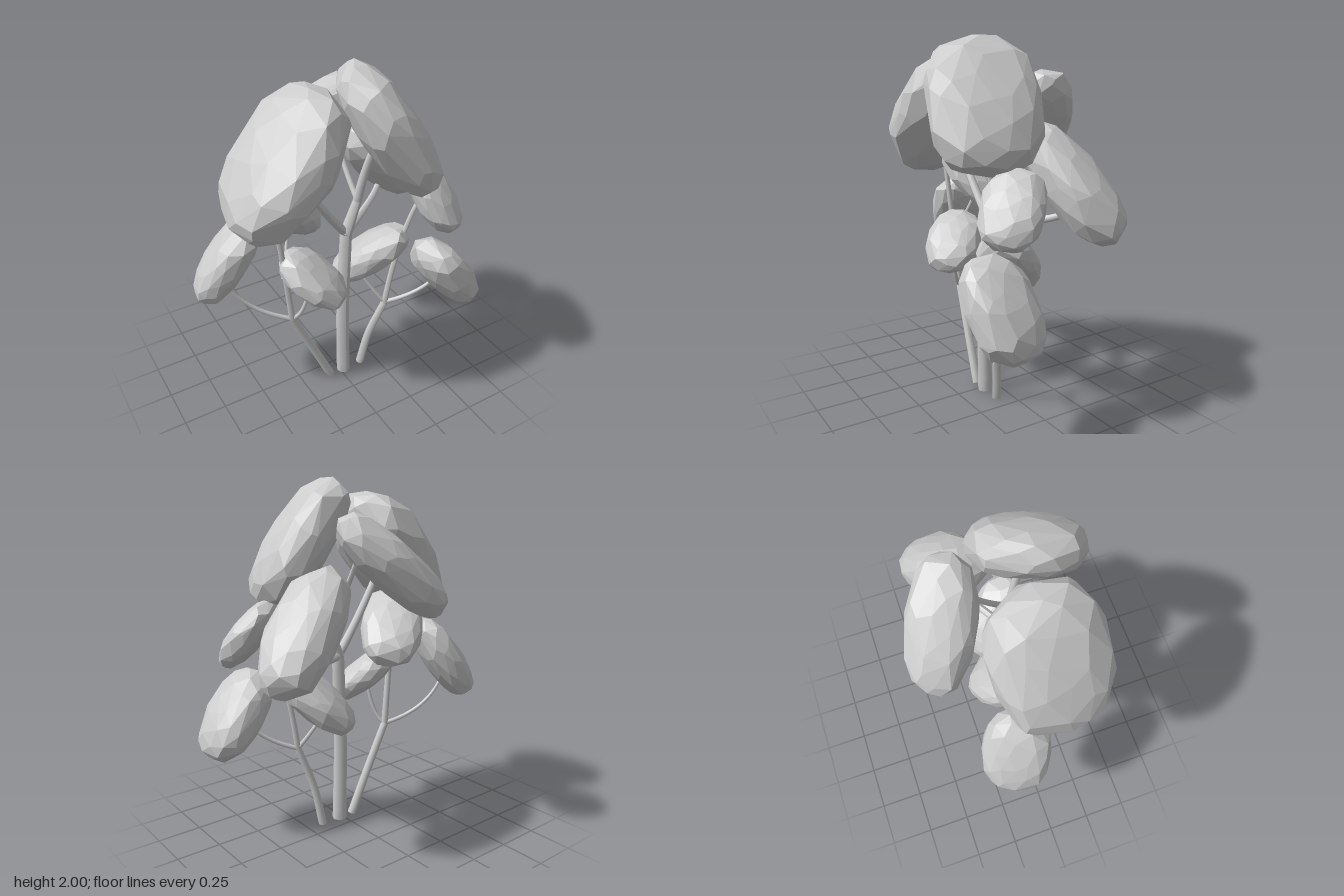
import * as THREE from 'three';
import { ConvexGeometry } from 'three/addons/geometries/ConvexGeometry.js';

const vec = (x, y, z) => new THREE.Vector3(x, y, z);
const foliageMaterial = new THREE.MeshStandardMaterial({ color: 0xcccccc, flatShading: true });
const woodMaterial = new THREE.MeshStandardMaterial({ color: 0xcccccc });

// Small seeded generator for the irregular facets
function seeded(seed) {
  let s = seed;
  return () => (s = (s * 16807) % 2147483647) / 2147483647;
}

// Flattened faceted clump whose length slopes down along a compass heading (degrees from +x to +z)
function foliage(name, at, heading, pitch, length, thickness, width) {
  const rand = seeded(Math.round(length * 1000 + heading + 400));
  const points = [];
  const count = 75, power = 2.55;
  for (let i = 0; i < count; i++) {
    const y = 1 - (2 * (i + 0.5)) / count;
    const a = i * 2.39996 + (rand() - 0.5) * 0.5;
    const r = Math.sqrt(1 - y * y);
    const d = vec(r * Math.cos(a), y, r * Math.sin(a));
    const sum = d.toArray().reduce((t, c) => t + Math.abs(c) ** power, 0);
    d.multiplyScalar(sum ** (-1 / power) * (0.97 + rand() * 0.03));
    points.push(d.multiply(vec(length, thickness, width)));
  }
  const mesh = new THREE.Mesh(new ConvexGeometry(points), foliageMaterial);
  const rad = THREE.MathUtils.degToRad;
  mesh.rotation.set(0, -rad(heading), -rad(pitch), 'YZX');
  mesh.position.copy(at);
  mesh.name = name;
  return mesh;
}

// Tapered round tube along a curve
function wood(name, curve, r0, r1) {
  const segments = 14, sides = 8;
  const geometry = new THREE.TubeGeometry(curve, segments, 1, sides);
  const pos = geometry.attributes.position;
  const v = vec(0, 0, 0);
  for (let n = 0; n < pos.count; n++) {
    const t = Math.floor(n / (sides + 1)) / segments;
    const c = curve.getPointAt(t);
    v.fromBufferAttribute(pos, n).sub(c).multiplyScalar(THREE.MathUtils.lerp(r0, r1, t)).add(c);
    pos.setXYZ(n, v.x, Math.max(v.y, 0), v.z);
  }
  geometry.computeVertexNormals();
  const mesh = new THREE.Mesh(geometry, woodMaterial);
  mesh.name = name;
  return mesh;
}

// Stem rising from the ground, with a closed foot
function stem(name, base, middle, fork, r0, r1) {
  const group = new THREE.Group();
  group.name = name;
  const foot = new THREE.Mesh(new THREE.CircleGeometry(r0, 8), woodMaterial);
  foot.rotation.x = Math.PI / 2;
  foot.position.copy(base);
  group.add(wood(name + 'Wood', new THREE.CatmullRomCurve3([base, middle, fork]), r0, r1), foot);
  return group;
}

// Branch from a fork to its tip; spread > 0.5 runs outward first, < 0.5 rises first
function branch(name, fork, tip, spread, radius) {
  const bend = tip.clone().sub(fork).multiply(vec(spread, 1 - spread, spread)).add(fork);
  return wood(name, new THREE.QuadraticBezierCurve3(fork, bend, tip), radius, radius * 0.7);
}

export function createModel() {
  const tree = new THREE.Group();
  tree.name = 'tree';

  // Stems and the points where they fork
  const trunkFork = vec(0.04, 1.02, 0.07);
  const crownFork = vec(0.105, 1.22, 0.08);
  const rightFork = vec(-0.31, 0.54, 0.06);
  const rightUpperFork = vec(-0.365, 0.86, 0.08);
  const leftFork = vec(0.27, 0.49, 0.155);
  tree.add(
    stem('mainTrunk', vec(0.025, 0, 0.085), vec(0.015, 0.5, 0.085), trunkFork, 0.042, 0.035),
    stem('rightStem', vec(-0.07, 0, 0.085), vec(-0.175, 0.24, 0.075), rightFork, 0.026, 0.022),
    stem('leftStem', vec(0.15, 0, 0.085), vec(0.192, 0.24, 0.11), leftFork, 0.025, 0.021),
    branch('trunkTop', trunkFork, crownFork, 0.5, 0.035),
    branch('rightStemTop', rightFork, vec(-0.42, 1.36, 0.1), 0.45, 0.02),
  );

  // Each clump of foliage with the branch that carries it
  const limb = (name, fork, tip, spread, radius, ...shape) =>
    tree.add(branch(name + 'Branch', fork, tip, spread, radius), foliage(name + 'Foliage', ...shape));

  limb('topRight', trunkFork, vec(-0.3, 1.52, 0.1), 0.55, 0.026,
    vec(-0.36, 1.58, 0.12), 174, 51, 0.42, 0.18, 0.31);
  limb('topLeft', crownFork, vec(0.16, 1.58, 0.16), 0.4, 0.026,
    vec(0.21, 1.66, 0.195), 20, 56, 0.4, 0.155, 0.305);
  limb('topBack', crownFork, vec(0.09, 1.62, -0.18), 0.6, 0.018,
    vec(-0.02, 1.555, -0.315), -152, 42, 0.37, 0.13, 0.18);
  limb('upperLeft', trunkFork, vec(0.42, 1.11, -0.18), 0.85, 0.025,
    vec(0.445, 1.26, -0.19), -24, 46, 0.39, 0.14, 0.195);
  limb('middleLeft', leftFork, vec(0.42, 1.16, 0.2), 0.35, 0.018,
    vec(0.52, 1.185, 0.23), 47, 50, 0.225, 0.09, 0.165);
  limb('lowerLeft', leftFork, vec(0.53, 0.68, 0.3), 0.7, 0.014,
    vec(0.575, 0.72, 0.32), -6, 53, 0.285, 0.12, 0.195);
  limb('lowerInner', leftFork, vec(0.13, 0.74, 0.05), 0.55, 0.013,
    vec(0.22, 0.81, 0.05), -133, 40, 0.275, 0.105, 0.17);
  limb('lowerRight', rightFork, vec(-0.62, 0.8, -0.1), 0.75, 0.014,
    vec(-0.605, 0.95, -0.125), -155, 56, 0.285, 0.11, 0.19);
  limb('middleRight', rightUpperFork, vec(-0.27, 1.12, -0.03), 0.6, 0.012,
    vec(-0.26, 1.18, -0.05), -44, 43, 0.275, 0.1, 0.18);
  limb('lowerFront', rightFork, vec(-0.24, 0.84, 0.15), 0.8, 0.013,
    vec(-0.215, 0.855, 0.15), 43, 38, 0.22, 0.09, 0.16);
  return tree;
}
